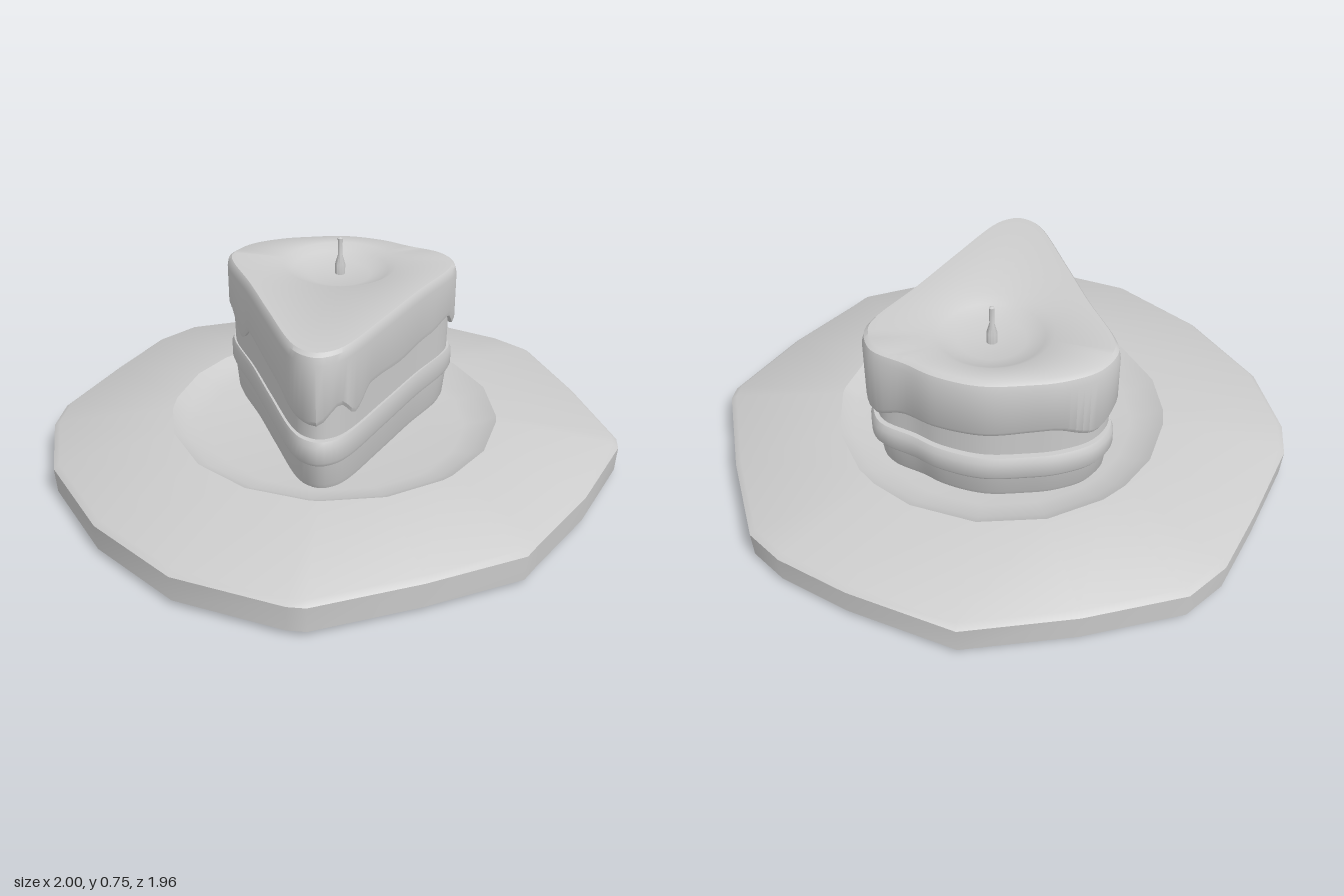
import * as THREE from 'three';
import { toCreasedNormals } from 'three/addons/utils/BufferGeometryUtils.js';

// Skin a stack of closed rings (counter-clockwise from above, lowest outside ring first).
function loft(rings, crease = 0.6) {
  const n = rings[0].length, pos = rings.flat().flat(), index = [];
  const same = (p, q) => p.every((v, k) => Math.abs(v - q[k]) < 1e-6);
  for (let r = 0; r < rings.length - 1; r++) {
    for (let i = 0; i < n; i++) {
      const j = (i + 1) % n;
      const a = r * n + i, b = r * n + j, c = a + n, d = b + n;
      if (!same(rings[r][i], rings[r][j])) index.push(a, b, d);
      if (!same(rings[r + 1][i], rings[r + 1][j])) index.push(a, d, c);
    }
  }
  const geo = new THREE.BufferGeometry();
  geo.setAttribute('position', new THREE.Float32BufferAttribute(pos, 3));
  geo.setIndex(index);
  return toCreasedNormals(geo, crease);
}

// Ring helpers: a scaled outline, and a circle matching the outline's directions.
const scaled = (outline, y, sx, sz = sx) => outline.map(([x, z]) => [x * sx, y, z * sz]);
const round = (outline, y, radius, cz) => outline.map(([x, z]) => {
  const a = Math.atan2(x, z - cz);
  return [Math.sin(a) * radius, y, cz + Math.cos(a) * radius];
});

// Uneven plate rim
const PLATE = [
  [0, -0.98], [-0.36, -0.88], [-0.68, -0.75], [-0.79, -0.62], [-0.89, -0.37], [-1, -0.06],
  [-1, 0.08], [-0.91, 0.36], [-0.68, 0.66], [-0.39, 0.88], [-0.03, 0.975], [0.03, 0.975],
  [0.36, 0.83], [0.66, 0.67], [0.70, 0.60], [0.86, 0.34], [1, 0.02], [1, -0.04],
  [0.87, -0.38], [0.72, -0.69], [0.6, -0.78], [0.36, -0.88],
];

// Rounded wedge of the slice, starting at the front tip
const WEDGE = [
  [0, 0.495], [0.05, 0.475], [0.09, 0.43], [0.2, 0.2], [0.3, -0.02], [0.4, -0.22], [0.41, -0.28],
  [0.37, -0.37], [0.24, -0.43], [0.15, -0.475], [0, -0.505], [-0.15, -0.48], [-0.25, -0.45],
  [-0.36, -0.38], [-0.41, -0.28], [-0.4, -0.22], [-0.3, -0.02], [-0.2, 0.2], [-0.09, 0.43], [-0.05, 0.475],
];

// Height of the dripping icing edge by angle around the slice
const DRIPS = [
  [-3.15, 0.45], [-2.7, 0.46], [-2.4, 0.41], [-2.14, 0.45], [-2.08, 0.48], [-1.88, 0.41],
  [-1.65, 0.47], [-0.46, 0.46], [0, 0.41], [0.15, 0.47], [0.28, 0.41], [0.48, 0.47],
  [1.19, 0.455], [1.84, 0.465], [2.05, 0.485], [2.17, 0.425], [2.33, 0.395], [2.6, 0.44], [3.15, 0.45],
];
function dripHeight(x, z) {
  const a = Math.atan2(x, z);
  const k = DRIPS.findIndex(d => d[0] >= a);
  const [a0, y0] = DRIPS[k - 1], [a1, y1] = DRIPS[k];
  return THREE.MathUtils.lerp(y0, y1, THREE.MathUtils.smoothstep(a, a0, a1));
}

export function createModel() {
  const group = new THREE.Group();
  const clay = new THREE.MeshStandardMaterial({ color: 0xcccccc });
  clay.name = 'light grey';
  const add = (name, geo) => {
    const mesh = new THREE.Mesh(geo, clay);
    mesh.name = name;
    group.add(mesh);
    return mesh;
  };

  // Plate with a sloping rim and a shallow well
  const wellZ = -0.025;
  add('plate', loft([
    scaled(PLATE, 0, 0), scaled(PLATE, 0.005, 0.96), scaled(PLATE, 0.02, 0.995),
    scaled(PLATE, 0.11, 1), scaled(PLATE, 0.125, 0.98),
    round(PLATE, 0.18, 0.575, wellZ), round(PLATE, 0.155, 0.53, wellZ),
    round(PLATE, 0.14, 0.46, wellZ), round(PLATE, 0.138, 0, wellZ),
  ]));

  // Dense smooth outline shared by all layers of the slice
  const curve = new THREE.CatmullRomCurve3(WEDGE.map(([x, z]) => new THREE.Vector3(x, 0, z)), true);
  const outline = curve.getSpacedPoints(120).slice(0, 120).map(p => [p.x, p.z]);

  // Sponge layers
  add('lowerSponge', loft([
    scaled(outline, 0.13, 0.88, 0.84), scaled(outline, 0.16, 0.92, 0.87),
    scaled(outline, 0.27, 0.95, 0.91),
  ]));
  add('upperSponge', loft([
    scaled(outline, 0.32, 0.94, 0.91), scaled(outline, 0.52, 0.95, 0.92),
  ]));

  // Cream filling bulging past the sponge
  add('creamFilling', loft([
    scaled(outline, 0.255, 0.9, 0.87), scaled(outline, 0.255, 0.965, 0.95), scaled(outline, 0.27, 0.985, 0.97),
    scaled(outline, 0.325, 0.985, 0.97), scaled(outline, 0.343, 0.965, 0.95), scaled(outline, 0.343, 0.9, 0.87),
  ], 0.8));

  // Icing with a dripping edge and a dimple in its top
  const drip = (lift, sx, sz) => outline.map(([x, z]) => [x * sx, dripHeight(x, z) + lift, z * sz]);
  const dimpleZ = -0.22;
  add('icing', loft([
    drip(0.015, 0.92, 0.89), drip(0, 0.98, 0.975), drip(0.02, 1, 1),
    scaled(outline, 0.625, 1), scaled(outline, 0.65, 0.985), scaled(outline, 0.66, 0.955),
    round(outline, 0.66, 0.2, dimpleZ), round(outline, 0.64, 0.17, dimpleZ),
    round(outline, 0.622, 0.11, dimpleZ), round(outline, 0.618, 0, dimpleZ),
  ]));

  // Small tapered wick standing in the dimple
  const wickProfile = [[0, 0.61], [0.018, 0.612], [0.018, 0.655], [0.008, 0.69], [0.009, 0.75], [0, 0.755]];
  const wick = add('wick', toCreasedNormals(
    new THREE.LatheGeometry(wickProfile.map(([r, y]) => new THREE.Vector2(r, y)), 12), 0.7));
  wick.position.z = -0.23;

  return group;
}
